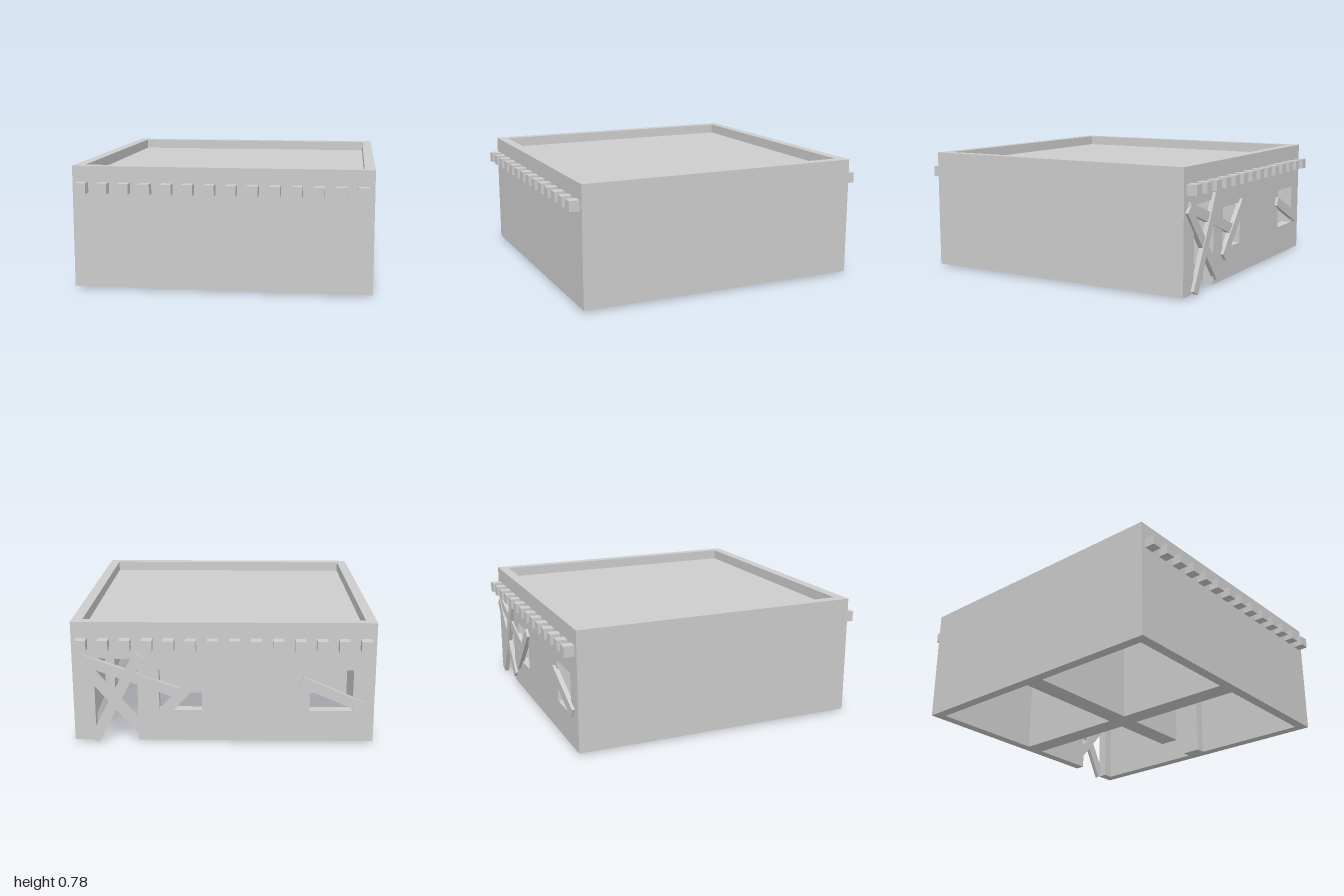
import * as THREE from 'three';

const U = 1 / 15;            // building module
const BASE = 0.01;           // underside of the walls
const HALF = 14 * U;         // half width of the house
const TOP = 11.5 * U;        // parapet height above the base
const CEILING = 10 * U;      // roof slab underside above the base

export function createModel() {
  const group = new THREE.Group();
  const clay = new THREE.MeshStandardMaterial({ color: 0xcccccc });
  clay.name = 'pale grey clay';

  const add = (name, geometry, x = 0, y = 0, z = 0) => {
    const mesh = new THREE.Mesh(geometry, clay);
    mesh.name = name;
    mesh.position.set(x, y, z);
    group.add(mesh);
    return mesh;
  };

  // Wall along x: optional door notches at the foot and window holes, centred on z
  const wall = (name, halfWidth, height, thickness, z, doors = [], windows = []) => {
    const shape = new THREE.Shape();
    shape.moveTo(-halfWidth, 0);
    for (const [x0, x1, h] of doors) {
      shape.lineTo(x0, 0);
      shape.lineTo(x0, h);
      shape.lineTo(x1, h);
      shape.lineTo(x1, 0);
    }
    shape.lineTo(halfWidth, 0);
    shape.lineTo(halfWidth, height);
    shape.lineTo(-halfWidth, height);
    shape.closePath();
    for (const [x0, x1, y0, y1] of windows) {
      const hole = new THREE.Path();
      hole.moveTo(x0, y0);
      hole.lineTo(x0, y1);
      hole.lineTo(x1, y1);
      hole.lineTo(x1, y0);
      hole.closePath();
      shape.holes.push(hole);
    }
    const geometry = new THREE.ExtrudeGeometry(shape, { depth: thickness, bevelEnabled: false });
    geometry.translate(0, 0, -thickness / 2);
    return add(name, geometry, 0, BASE, z);
  };

  // Outer walls
  const door = [8 * U, 12 * U, 8 * U];
  const windows = [
    [2 * U, 6 * U, 3 * U, 7 * U],
    [-12 * U, -8 * U, 3 * U, 7 * U],
  ];
  wall('frontWall', HALF, TOP, U, HALF - U / 2);
  wall('backWall', HALF, TOP, U, -HALF + U / 2, [door], windows);
  for (const [name, side] of [['leftWall', 1], ['rightWall', -1]]) {
    add(name, new THREE.BoxGeometry(U, TOP, 2 * (HALF - U)),
      side * (HALF - U / 2), BASE + TOP / 2, 0);
  }

  // Inner walls dividing the house into four rooms
  wall('crossDivider', HALF - U, CEILING, 2 * U, 0, [door]);
  for (const side of [1, -1]) {
    add('roomDivider', new THREE.BoxGeometry(2 * U, CEILING, 12 * U),
      0, BASE + CEILING / 2, side * 7 * U);
  }

  // Sunken roof slab
  add('roof', new THREE.BoxGeometry(26 * U, U / 2, 26 * U), 0, BASE + CEILING + U / 4, 0);

  // Roof beams passing through the front and back walls
  const beam = new THREE.BoxGeometry(U, U, 2);
  for (let i = 0; i < 14; i++) {
    add('roofBeam', beam, (2 * i - 13) * U, BASE + 9.5 * U, 0);
  }

  // Loose planks nailed over the doorway and windows: x0, y0, x1, y1, outer z
  const planks = [
    ['doorPlank', 0.89, 0.53, 0.49, 0.06, -0.950],
    ['doorPlank', 0.52, 0.575, 0.81, 0.015, -0.955],
    ['doorPlank', 0.88, 0.54, 0.27, 0.32, -0.945],
    ['windowPlank', 0.115, 0.48, 0.405, 0.16, -0.952],
    ['windowPlank', -0.48, 0.405, -0.86, 0.24, -0.952],
  ];
  for (const [name, x0, y0, x1, y1, z] of planks) {
    const length = Math.hypot(x1 - x0, y1 - y0);
    const plank = add(name, new THREE.BoxGeometry(length, 0.065, 0.03),
      (x0 + x1) / 2, (y0 + y1) / 2, z + 0.015);
    plank.rotation.z = Math.atan2(y1 - y0, x1 - x0);
  }

  return group;
}
